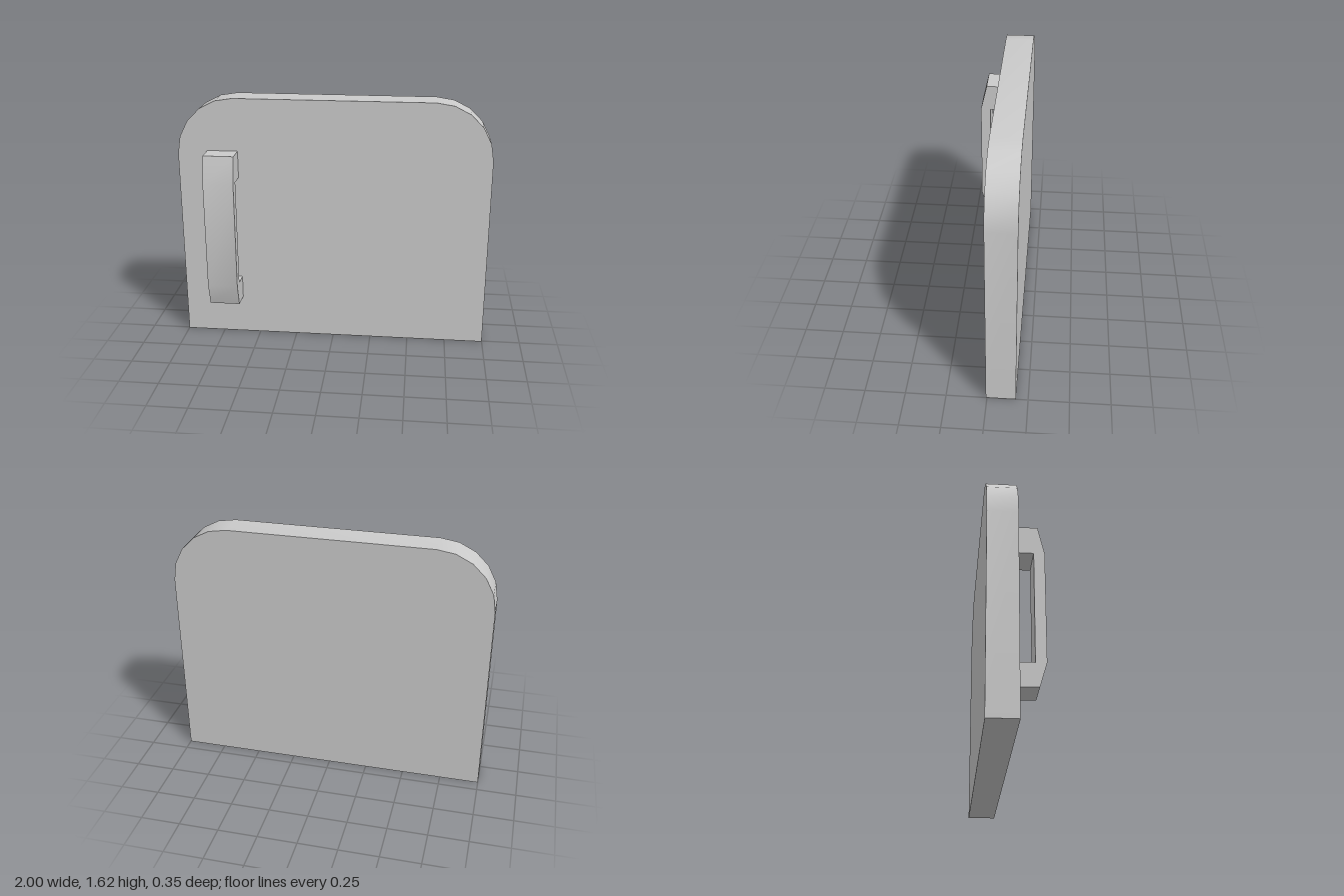
import * as THREE from 'three';
import { toCreasedNormals } from 'three/addons/utils/BufferGeometryUtils.js';

const WIDTH = 2, HEIGHT = 1.615, RADIUS = 0.365, CORNER_STEPS = 5;
const BACK = -0.175, FRONT = 0.007;
const CREASE = 0.5;

const material = new THREE.MeshStandardMaterial({ color: 0xcccccc });

// Extrudes an outline and smooths only its gentle bends
function slab(points, depth) {
  const shape = new THREE.Shape(points.map(([x, y]) => new THREE.Vector2(x, y)));
  const geometry = new THREE.ExtrudeGeometry(shape, { depth, bevelEnabled: false });
  return toCreasedNormals(geometry, CREASE);
}

function part(name, geometry) {
  const mesh = new THREE.Mesh(geometry, material);
  mesh.name = name;
  return mesh;
}

// Flat panel with two rounded top corners
function doorPanel() {
  const half = WIDTH / 2;
  const outline = [[-half, 0], [half, 0]];
  for (const side of [1, -1]) {
    for (let i = 0; i <= CORNER_STEPS; i++) {
      const step = side > 0 ? i : CORNER_STEPS - i;
      const angle = (step / CORNER_STEPS) * Math.PI / 2;
      outline.push([
        side * (half - RADIUS + RADIUS * Math.cos(angle)),
        HEIGHT - RADIUS + RADIUS * Math.sin(angle),
      ]);
    }
  }
  return part('doorPanel', slab(outline, FRONT - BACK).translate(0, 0, BACK));
}

// Bracket-shaped pull handle; side profile given as [z, y]
function handle() {
  const profile = [
    [FRONT, 0.255], [0.133, 0.26], [0.175, 0.405], [0.175, 1.1], [0.135, 1.275],
    [FRONT, 1.275], [FRONT, 1.1], [0.11, 1.1], [0.11, 0.405], [FRONT, 0.405],
  ];
  const geometry = slab(profile, 0.195).rotateY(-Math.PI / 2).translate(-0.613, 0, 0);
  return part('handle', geometry);
}

export function createModel() {
  const door = new THREE.Group();
  door.name = 'door';
  door.add(doorPanel(), handle());
  return door;
}
